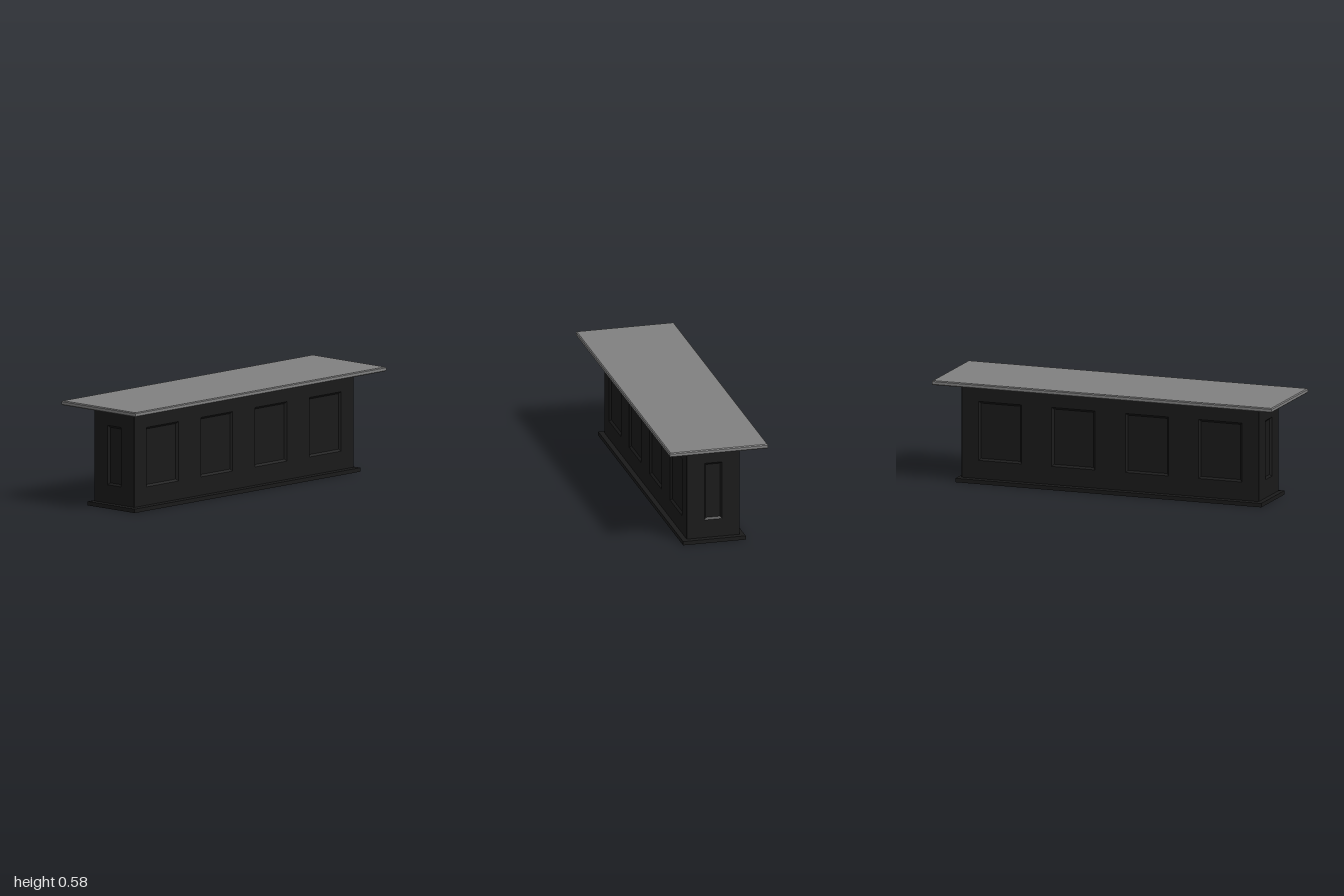
import * as THREE from 'three';

const bodyMat = new THREE.MeshStandardMaterial({ color: 0x1a1a1a });
const topMat = new THREE.MeshStandardMaterial({ color: 0x808080 });

// Stack of rectangles [halfWidth, halfHeight, z], flat shaded, last one closed
function loftRects(rings, closeStart) {
  const pos = [];
  const corners = ([w, h, z]) => [[-w, -h, z], [w, -h, z], [w, h, z], [-w, h, z]];
  const quad = (a, b, c, d) => pos.push(...a, ...b, ...c, ...a, ...c, ...d);
  for (let r = 0; r < rings.length - 1; r++) {
    const a = corners(rings[r]), b = corners(rings[r + 1]);
    for (let i = 0; i < 4; i++) {
      const j = (i + 1) % 4;
      quad(a[i], a[j], b[j], b[i]);
    }
  }
  quad(...corners(rings[rings.length - 1]));
  if (closeStart) quad(...corners(rings[0]).reverse());
  const geo = new THREE.BufferGeometry();
  geo.setAttribute('position', new THREE.Float32BufferAttribute(pos, 3));
  geo.computeVertexNormals();
  return geo;
}

function addMesh(parent, name, geo, mat) {
  const mesh = new THREE.Mesh(geo, mat);
  mesh.name = name;
  parent.add(mesh);
  return mesh;
}

const Y0 = 0.02, Y1 = 0.56;                    // wall bottom and top
const P0 = 0.127, P1 = 0.459;                  // panel bottom and top
const HX = 0.875, HZ = 0.151, CHAMFER = 0.003; // body half sizes

// Flat wall facing +z with bevelled, recessed panels
function makeWall(name, halfWidth, panelXs, panelHalf) {
  const wall = new THREE.Group();
  wall.name = name;
  const w = halfWidth - CHAMFER;
  const face = new THREE.Shape([[-w, Y0], [w, Y0], [w, Y1], [-w, Y1]].map(p => new THREE.Vector2(...p)));
  const h = (P1 - P0) / 2;
  for (const x of panelXs) {
    const l = x - panelHalf, r = x + panelHalf;
    face.holes.push(new THREE.Path([[l, P0], [l, P1], [r, P1], [r, P0]].map(p => new THREE.Vector2(...p))));
    const recess = loftRects([[panelHalf, h, 0], [panelHalf - 0.011, h - 0.011, -0.011]], false);
    addMesh(wall, 'recessedPanel', recess, bodyMat).position.set(x, (P0 + P1) / 2, 0);
  }
  addMesh(wall, 'wallFace', new THREE.ShapeGeometry(face), bodyMat);
  return wall;
}

export function createModel() {
  const model = new THREE.Group();
  model.name = 'counter';

  // Plinth with a slightly sloping top
  const plinth = loftRects([[0.9, 0.178, 0], [0.9, 0.178, 0.022], [HX, HZ, 0.025]], true);
  addMesh(model, 'plinth', plinth.rotateX(-Math.PI / 2), bodyMat);

  // Four panelled walls
  const longXs = [-0.648, -0.217, 0.217, 0.648];
  for (const side of [0, 1]) {
    const long = makeWall(side ? 'backWall' : 'frontWall', HX, longXs, 0.127);
    long.rotation.y = side * Math.PI;
    long.position.z = side ? -HZ : HZ;
    const end = makeWall(side ? 'rightWall' : 'leftWall', HZ, [0], 0.051);
    end.rotation.y = side ? -Math.PI / 2 : Math.PI / 2;
    end.position.x = side ? -HX : HX;
    model.add(long, end);
  }

  // Narrow chamfers on the vertical corners
  for (const sx of [-1, 1]) for (const sz of [-1, 1]) {
    const strip = addMesh(model, 'cornerChamfer', new THREE.PlaneGeometry(CHAMFER * Math.SQRT2, Y1 - Y0), bodyMat);
    strip.position.set(sx * (HX - CHAMFER / 2), (Y0 + Y1) / 2, sz * (HZ - CHAMFER / 2));
    strip.rotation.y = Math.atan2(sx, sz);
  }

  // Worktop slab with bevelled edges
  const b = 0.005;
  const slab = loftRects([
    [1 - b, 0.279 - b, 0.559], [1, 0.279, 0.559 + b],
    [1, 0.279, 0.584 - b], [1 - b, 0.279 - b, 0.584],
  ], true);
  addMesh(model, 'worktop', slab.rotateX(-Math.PI / 2), topMat);

  return model;
}
